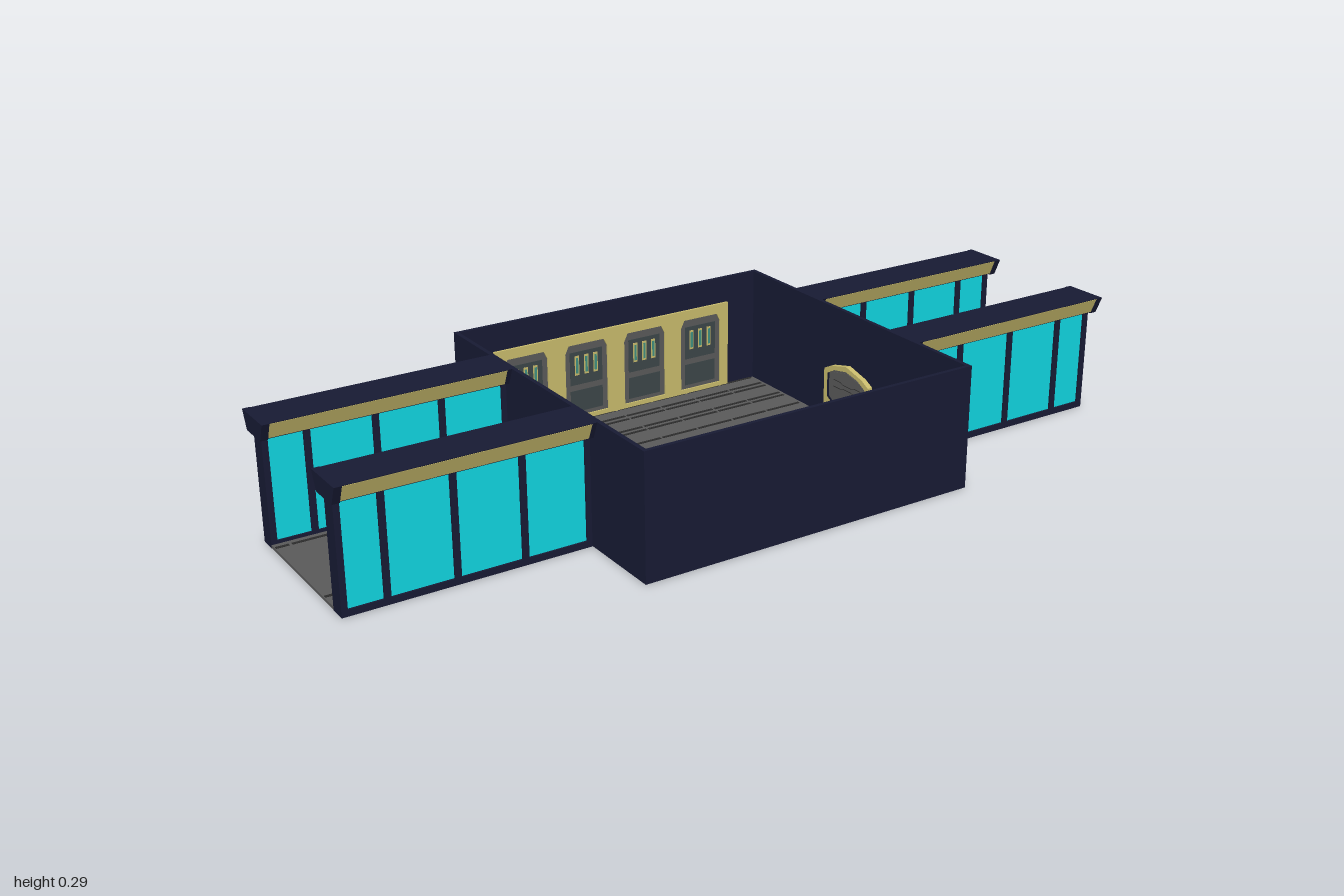
import * as THREE from 'three';

const mat = (color) => new THREE.MeshStandardMaterial({ color });
const NAVY = mat(0x171a33), GOLD = mat(0xc8bb6c), GREY = mat(0x595959);
const DARK = mat(0x2b2b2b), CYAN = mat(0x10d5e0), SLATE = mat(0x3c4648), GREEN = mat(0x3f8f80);

function add(parent, name, geometry, material) {
  const mesh = new THREE.Mesh(geometry, material);
  mesh.name = name;
  parent.add(mesh);
  return mesh;
}

// Box given by its lower and upper limits on each axis
function block(parent, name, material, x0, x1, y0, y1, z0, z1) {
  const mesh = add(parent, name, new THREE.BoxGeometry(x1 - x0, y1 - y0, z1 - z0), material);
  mesh.position.set((x0 + x1) / 2, (y0 + y1) / 2, (z0 + z1) / 2);
  return mesh;
}

const outline = (points) => points.map(([a, b]) => new THREE.Vector2(a, b));
const mirrored = (half) => [...half, ...half.slice().reverse().filter(([a]) => a !== 0).map(([a, b]) => [-a, b])];

// Extrudes a [z, y] outline along x from x0 to x1
function extrudeX(points, x0, x1, hole) {
  const flip = (p) => outline(p.map(([z, y]) => [-z, y]));
  const shape = new THREE.Shape(flip(points));
  if (hole) shape.holes.push(new THREE.Path(flip(hole)));
  const geometry = new THREE.ExtrudeGeometry(shape, { depth: x1 - x0, bevelEnabled: false });
  return geometry.rotateY(Math.PI / 2).translate(x0, 0, 0);
}

const H = 0.295, RX = 0.425, RZ = 0.415, T = 0.01, FLOOR = 0.008;

// Pointed door with stepped gold surround, on the +x wall
function makeDoor() {
  const door = new THREE.Group();
  door.name = 'door';
  const outer = mirrored([[0.085, 0.002], [0.085, 0.137], [0.06, 0.15], [0, 0.165]]);
  const inner = mirrored([[0.058, 0.004], [0.058, 0.06], [0.072, 0.068], [0.072, 0.128], [0.045, 0.143], [0, 0.152]]);
  add(door, 'doorFrame', extrudeX(outer, 0.402, 0.429, inner), GOLD);
  add(door, 'doorLeaf', extrudeX(inner, 0.408, 0.426), GREY);
  // Raised central leaf and its bent seams
  const leaf = mirrored([[0.053, 0.006], [0.053, 0.134], [0, 0.146]]);
  add(door, 'doorCentre', extrudeX(leaf, 0.4065, 0.4275), GREY);
  for (const [y, dip] of [[0.117, -0.004], [0.1, 0.003], [0.055, -0.004], [0.03, 0.005]]) {
    const top = mirrored([[0.052, y], [0.026, y], [0.016, y + dip], [0, y + dip]]);
    const bottom = top.map(([z, v]) => [z, v - 0.0015]).reverse();
    add(door, 'doorSeam', extrudeX([...top, ...bottom], 0.406, 0.428), DARK);
  }
  return door;
}

// Row of four gold-framed wall panels on the inside of the back wall
function makePanels() {
  const panels = new THREE.Group();
  panels.name = 'wallPanels';
  const z = -RZ + T, w = 0.166, y0 = FLOOR, y1 = 0.23;
  for (let i = 0; i < 4; i++) {
    const x = -2 * w + i * w, c = x + w / 2;
    const frame = new THREE.Shape(outline([[x, y0], [x + w, y0], [x + w, y1], [x, y1]]));
    frame.holes.push(new THREE.Path(outline([
      [x + 0.024, y0 + 0.012], [x + 0.024, 0.185], [x + 0.034, 0.205],
      [x + w - 0.034, 0.205], [x + w - 0.024, 0.185], [x + w - 0.024, y0 + 0.012],
    ])));
    const geometry = new THREE.ExtrudeGeometry(frame, { depth: 0.006, bevelEnabled: false });
    add(panels, 'panelFrame', geometry.translate(0, 0, z), GOLD);
    block(panels, 'panelBack', GREY, x + 0.01, x + w - 0.01, y0, 0.215, z, z + 0.002);
    block(panels, 'panelWindow', SLATE, c - 0.045, c + 0.045, 0.1, 0.185, z, z + 0.003);
    block(panels, 'panelLower', SLATE, c - 0.045, c + 0.045, 0.03, 0.085, z, z + 0.003);
    for (const dx of [-0.026, 0, 0.026]) {
      block(panels, 'panelBar', GOLD, c + dx - 0.006, c + dx + 0.006, 0.125, 0.175, z, z + 0.004);
      block(panels, 'panelLight', GREEN, c + dx - 0.003, c + dx + 0.003, 0.13, 0.17, z, z + 0.005);
    }
  }
  return panels;
}

// Glazed side wall of the +x corridor, on its +z side
function makeGlassWall() {
  const wall = new THREE.Group();
  wall.name = 'corridorWall';
  const c = 0.183, zi = 0.163, zo = 0.203;
  const shape = new THREE.Shape(outline([[RX, 0], [0.992, 0], [0.992, 0.256], [RX, 0.256]]));
  for (const [a, b] of [[0.437, 0.575], [0.59, 0.73], [0.745, 0.885], [0.9, 0.978]]) {
    shape.holes.push(new THREE.Path(outline([[a, 0.015], [b, 0.015], [b, 0.25], [a, 0.25]])));
    block(wall, 'windowPane', CYAN, a, b, 0.015, 0.25, zi + 0.005, zo - 0.005);
  }
  const frame = new THREE.ExtrudeGeometry(shape, { depth: zo - zi, bevelEnabled: false });
  add(wall, 'windowFrame', frame.translate(0, 0, zi), NAVY);
  // Flared cap with gold strips along both slopes
  const cap = [[c - 0.036, 0.255], [c + 0.036, 0.255], [c + 0.053, H], [c - 0.053, H]];
  add(wall, 'wallCap', extrudeX(cap, RX, 0.985), NAVY);
  const end = [[c - 0.037, 0.253], [c + 0.037, 0.253], [c + 0.055, H], [c - 0.055, H]];
  add(wall, 'capEnd', extrudeX(end, 0.983, 1), NAVY);
  for (const s of [-1, 1]) {
    const strip = [[0.034, 0.257], [0.038, 0.257], [0.0535, 0.2935], [0.05, 0.2935]];
    add(wall, 'goldStrip', extrudeX(strip.map(([d, y]) => [c + s * d, y]), 0.437, 0.983), GOLD);
  }
  return wall;
}

function makeCorridor() {
  const corridor = new THREE.Group();
  corridor.name = 'corridor';
  block(corridor, 'corridorFloor', GREY, RX, 0.992, 0.001, FLOOR, -0.163, 0.163);
  for (const z of [-0.115, 0.145]) {
    for (let x = 0.435; x < 0.97; x += 0.105) {
      block(corridor, 'floorGroove', DARK, x, Math.min(x + 0.098, 0.99), FLOOR - 0.002, FLOOR + 0.001, z - 0.004, z + 0.004);
    }
  }
  const near = makeGlassWall(), far = makeGlassWall();
  far.scale.z = -1;
  corridor.add(near, far);
  return corridor;
}

function makeRoom() {
  const room = new THREE.Group();
  room.name = 'room';
  block(room, 'roomFloor', GREY, -RX + 0.005, RX - 0.005, 0, FLOOR, -RZ + 0.005, RZ - 0.005);
  for (const s of [-1, 1]) {
    const z = s * (RZ - T / 2), x = s * (RX - T / 2);
    block(room, 'longWall', NAVY, -RX, RX, 0.001, H, z - T / 2, z + T / 2);
    block(room, 'endWall', NAVY, x - T / 2, x + T / 2, 0.001, H, -RZ + T, RZ - T);
    // Dashed dark grooves across the floor
    for (const d of [0.193, 0.257, 0.276, 0.337, 0.357, 0.402]) {
      for (let i = 0; i < 8; i++) {
        const x0 = -0.41 + i * 0.1025;
        block(room, 'floorGroove', DARK, x0 + 0.003, x0 + 0.0995, FLOOR - 0.002, FLOOR + 0.001, s * d - 0.004, s * d + 0.004);
      }
    }
  }
  return room;
}

export function createModel() {
  const model = new THREE.Group();
  model.name = 'hallWithCorridors';
  model.add(makeRoom());
  // Doors, panels and corridors repeat with a half turn
  for (const angle of [0, Math.PI]) {
    const half = new THREE.Group();
    half.name = angle ? 'rightHalf' : 'leftHalf';
    half.add(makeDoor(), makePanels(), makeCorridor());
    half.rotation.y = angle;
    model.add(half);
  }
  return model;
}
